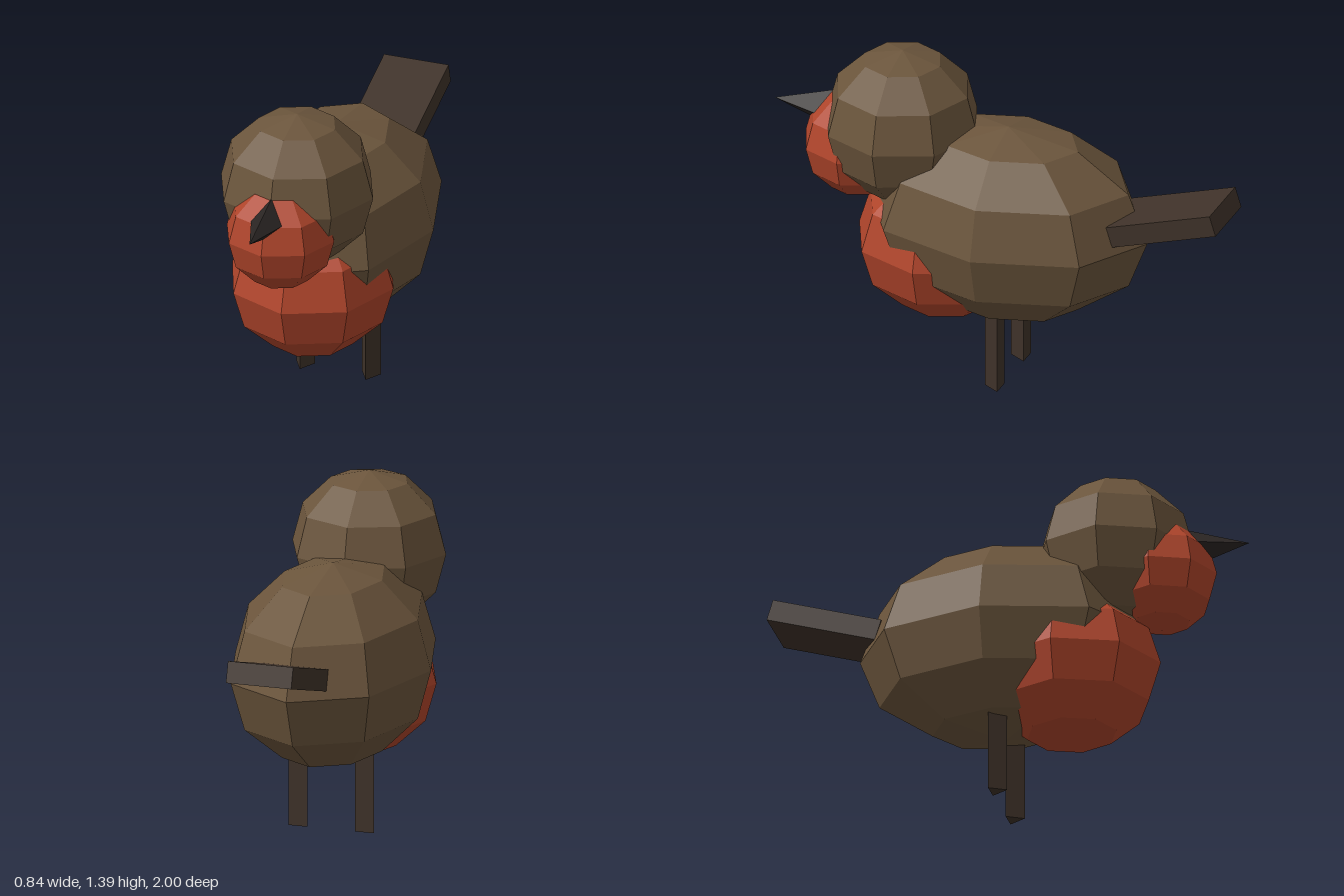
import * as THREE from 'three';

const paint = (color) => new THREE.MeshStandardMaterial({ color, flatShading: true });

export function createModel() {
  const bird = new THREE.Group();
  bird.name = 'bird';
  const brown = paint(0x6b553c);
  const red = paint(0xb0452b);
  const darkBrown = paint(0x3f3229);
  const black = paint(0x2a2523);

  function add(name, geometry, material, x, y, z) {
    const mesh = new THREE.Mesh(geometry, material);
    mesh.name = name;
    mesh.position.set(x, y, z);
    bird.add(mesh);
    return mesh;
  }

  // Faceted ellipsoid with given radii
  const blob = (rx, ry, rz) => new THREE.SphereGeometry(1, 8, 6).scale(rx, ry, rz);

  // Plumage
  add('body', blob(0.42, 0.42, 0.61), brown, 0, 0.71, -0.03);
  add('head', blob(0.33, 0.33, 0.33), brown, 0, 1.06, 0.437);
  add('breast', blob(0.35, 0.325, 0.375), red, 0, 0.565, 0.252);
  add('face', blob(0.233, 0.23, 0.23), red, 0, 0.94, 0.633);

  // Four-sided beak pointing forward
  const beak = new THREE.ConeGeometry(0.1, 0.3, 4).rotateX(Math.PI / 2);
  add('beak', beak, black, 0, 1.06, 0.85);

  // Tail board tilted up towards the back
  const tail = add('tail', new THREE.BoxGeometry(0.28, 0.09, 0.477), darkBrown, 0, 0.857, -0.756);
  tail.rotation.x = 0.302;

  // Three-sided legs with an edge to the front
  const leg = new THREE.CylinderGeometry(0.047, 0.047, 0.4, 3);
  for (const side of [1, -1]) {
    add(side > 0 ? 'leftLeg' : 'rightLeg', leg, darkBrown, side * 0.143, 0.2, -0.03);
  }

  return bird;
}
